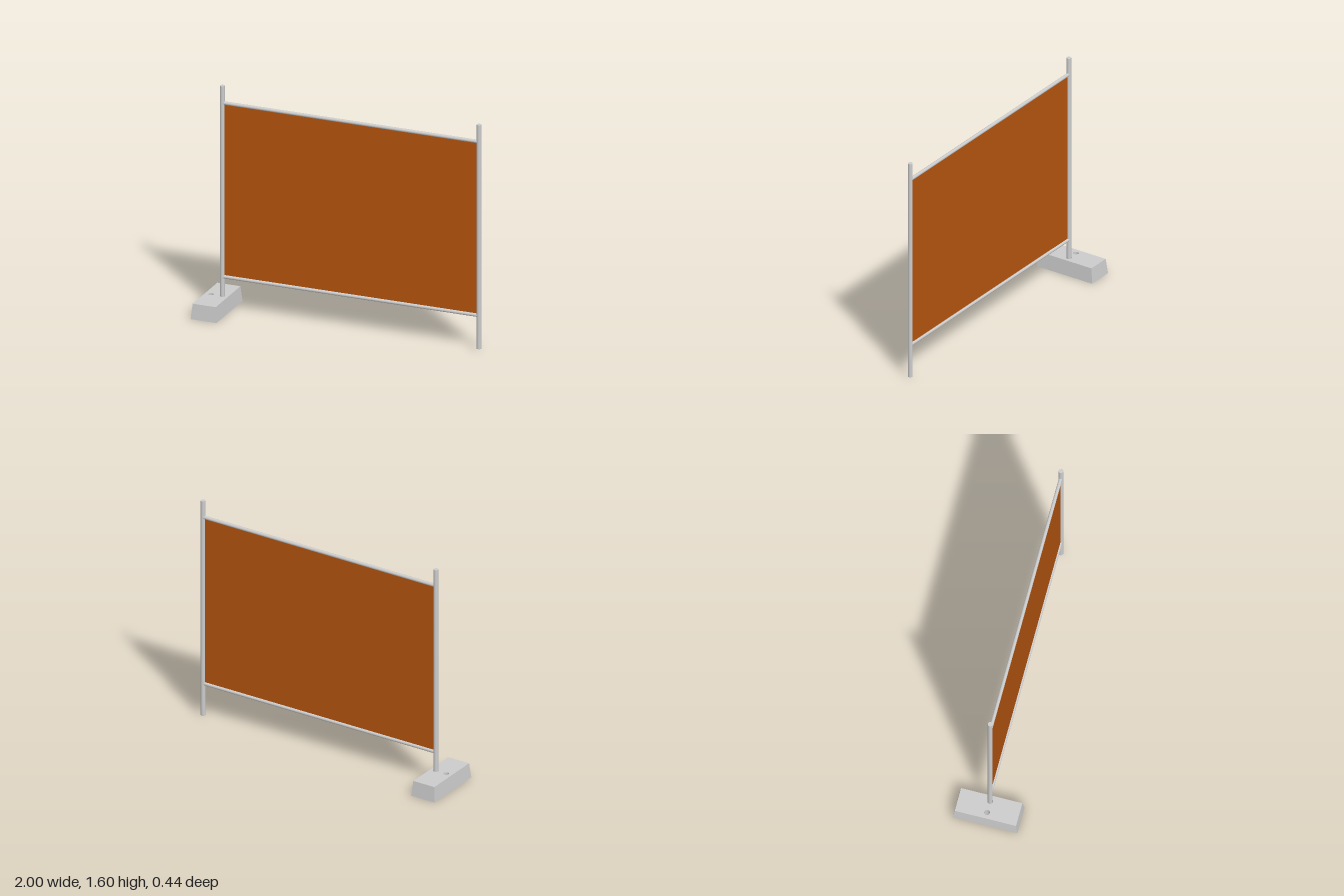
import * as THREE from 'three';

const grey = new THREE.MeshStandardMaterial({ color: 0xcccccc });
const greyThin = new THREE.MeshStandardMaterial({ color: 0xcccccc, side: THREE.DoubleSide });
const greyFlat = new THREE.MeshStandardMaterial({ color: 0xcccccc, side: THREE.DoubleSide, flatShading: true });
const orange = new THREE.MeshStandardMaterial({ color: 0xb4540e, side: THREE.DoubleSide });

const LEFT_X = 0.98, RIGHT_X = -0.865;   // post centres
const POST_R = 0.016, RAIL_R = 0.012;
const POST_BOTTOM = 0.01, POST_TOP = 1.6;
const RAIL_YS = [0.245, 1.478];
const MID_X = (LEFT_X + RIGHT_X) / 2, SPAN = LEFT_X - RIGHT_X;
const BASE = { x: -0.907, h: 0.107, bottom: [0.093, 0.222], top: [0.083, 0.21], hole: 0.019 };

function add(parent, name, geometry, material, x = 0, y = 0, z = 0) {
  const mesh = new THREE.Mesh(geometry, material);
  mesh.name = name;
  mesh.position.set(x, y, z);
  parent.add(mesh);
  return mesh;
}

// Four sloping sides, open above and below
function taperedWalls(bottom, top, h) {
  const signs = [[-1, 1], [1, 1], [1, -1], [-1, -1]];
  const positions = [], index = [];
  signs.forEach(([sx, sz], i) => {
    positions.push(sx * bottom[0], 0, sz * bottom[1], sx * top[0], h, sz * top[1]);
    const a = i * 2, b = ((i + 1) % 4) * 2;
    index.push(a, b, b + 1, a, b + 1, a + 1);
  });
  const g = new THREE.BufferGeometry();
  g.setAttribute('position', new THREE.Float32BufferAttribute(positions, 3));
  g.setIndex(index);
  const flat = g.toNonIndexed();
  flat.computeVertexNormals();
  return flat;
}

// Hollow foot with two tube sockets hanging from its top plate
function createBase() {
  const base = new THREE.Group();
  base.name = 'base';
  base.position.x = BASE.x;
  add(base, 'baseWalls', taperedWalls(BASE.bottom, BASE.top, BASE.h), greyFlat);

  const [w, d] = BASE.top;
  const plate = new THREE.Shape([
    new THREE.Vector2(-w, -d), new THREE.Vector2(w, -d),
    new THREE.Vector2(w, d), new THREE.Vector2(-w, d),
  ]);
  const socketXs = [-0.04, RIGHT_X - BASE.x];
  for (const x of socketXs) {
    plate.holes.push(new THREE.Path().absarc(x, 0, BASE.hole, 0, Math.PI * 2, true));
  }
  add(base, 'baseTop', new THREE.ShapeGeometry(plate, 12).rotateX(-Math.PI / 2), greyFlat, 0, BASE.h);

  const depth = BASE.h - 0.005;
  for (const x of socketXs) {
    const tube = new THREE.CylinderGeometry(BASE.hole, BASE.hole, depth, 24, 1, true);
    add(base, 'socket', tube, greyThin, x, BASE.h - depth / 2);
  }
  return base;
}

export function createModel() {
  const model = new THREE.Group();
  model.name = 'barrierPanel';

  // Upright posts
  const postH = POST_TOP - POST_BOTTOM;
  for (const [name, x] of [['leftPost', LEFT_X], ['rightPost', RIGHT_X]]) {
    add(model, name, new THREE.CylinderGeometry(POST_R, POST_R, postH, 24), grey, x, POST_BOTTOM + postH / 2);
  }

  // Horizontal rails
  RAIL_YS.forEach((y, i) => {
    const rail = new THREE.CylinderGeometry(RAIL_R, RAIL_R, SPAN, 20).rotateZ(Math.PI / 2);
    add(model, i ? 'topRail' : 'bottomRail', rail, grey, MID_X, y);
  });

  // Sheet stretched between posts and rails
  const [low, high] = RAIL_YS;
  add(model, 'panel', new THREE.PlaneGeometry(SPAN, high - low), orange, MID_X, (low + high) / 2);

  model.add(createBase());
  return model;
}
